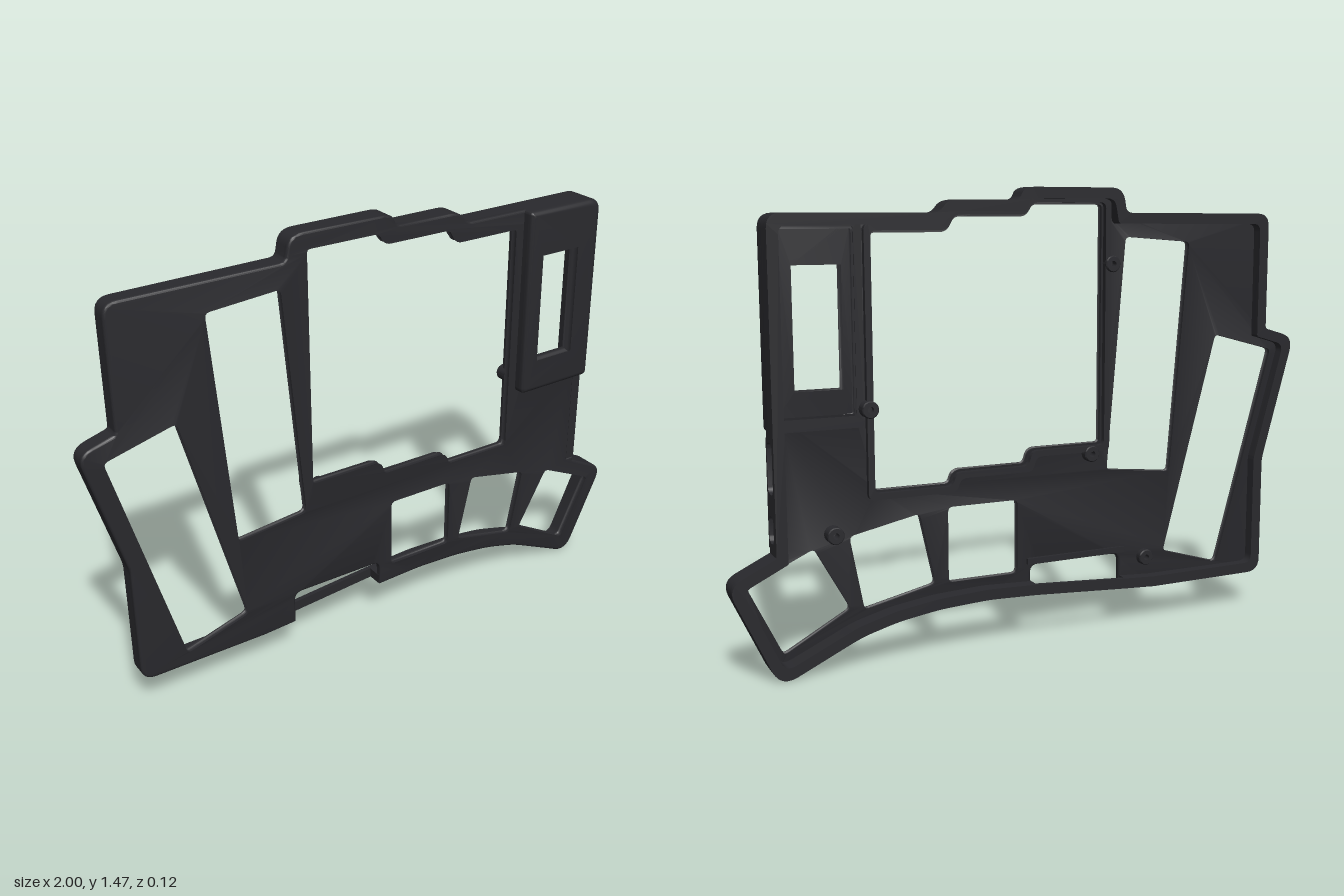
import * as THREE from 'three';
import { toCreasedNormals } from 'three/addons/utils/BufferGeometryUtils.js';

const material = new THREE.MeshStandardMaterial({ color: 0x29292d, side: THREE.DoubleSide });
const BACK = -0.06, SPLIT = -0.045, WALL = 0.035;
const frontZ = (x) => 0.012 + 0.016 * x; // the front face leans slightly

// Polygon of [x, y, cornerRadius] traced with rounded corners
function rounded(pts, r = 0, Kind = THREE.Shape) {
  const s = new Kind();
  pts.forEach((p, i) => {
    const c = new THREE.Vector2(p[0], p[1]), rad = p[2] ?? r;
    const toward = (q) => {
      const d = new THREE.Vector2(q[0], q[1]).sub(c), len = d.length();
      return d.multiplyScalar(Math.min(rad, len * 0.48) / len).add(c);
    };
    const a = toward(pts[(i + pts.length - 1) % pts.length]), b = toward(pts[(i + 1) % pts.length]);
    if (i) s.lineTo(a.x, a.y); else s.moveTo(a.x, a.y);
    if (rad) s.quadraticCurveTo(c.x, c.y, b.x, b.y);
  });
  s.closePath();
  return s;
}

// Mitred offset of a clockwise loop, positive is inward
function inset(pts, t) {
  const dir = (p, q) => new THREE.Vector2(q[1] - p[1], p[0] - q[0]).normalize();
  return pts.map((p, i) => {
    const n1 = dir(pts[(i + pts.length - 1) % pts.length], p), n2 = dir(p, pts[(i + 1) % pts.length]);
    const k = t / (1 + n1.dot(n2));
    return [p[0] + (n1.x + n2.x) * k, p[1] + (n1.y + n2.y) * k, p[2] === undefined ? undefined : p[2] * 0.6];
  });
}

const rect = (x0, x1, y0, y1) => [[x0, y1], [x1, y1], [x1, y0], [x0, y0]];

// Extrusion between two depths, with an optional edge bevel inside its outline
function slab(shape, z0, z1, bevel = 0, segments = 3) {
  const g = new THREE.ExtrudeGeometry(shape, {
    depth: z1 - z0 - 2 * bevel, curveSegments: 6, bevelEnabled: bevel > 0,
    bevelThickness: bevel, bevelSize: bevel, bevelOffset: -bevel, bevelSegments: segments,
  });
  return g.translate(0, 0, z0 + bevel);
}

// Lean the vertices in front of a given depth along with the front face
function lean(g, behind = -1) {
  const p = g.attributes.position;
  for (let i = 0; i < p.count; i++) if (p.getZ(i) > behind) p.setZ(i, p.getZ(i) + 0.016 * p.getX(i));
  return g;
}

// Outer outline, clockwise from the left end of the bottom slot
const upper = [
  [-0.335, 0.137], [-0.45, 0.13], [-0.89, 0.13, 0.05], [-0.89, 0.54, 0.02], [-1.01, 0.967, 0.05],
  [-0.89, 1.002, 0.01], [-0.89, 1.397, 0.045], [-0.325, 1.4, 0.02], [-0.31, 1.48, 0.045],
  [0.045, 1.48, 0.04], [0.06, 1.44, 0.02], [0.3, 1.44, 0.04], [0.33, 1.4, 0.02], [0.86, 1.4, 0.045], [0.86, 0.74],
];
const lower = [
  [0.86, 0.405], [0.86, 0.388], [1.01, 0.315, 0.05], [0.86, -0.012, 0.06], [0.6, 0.107, 0.04],
  [0.48, 0.139, 0.04], [0.34, 0.159, 0.04], [0.17, 0.167, 0.04], [0, 0.16],
];
const outline = [...upper, ...lower];
const inner = inset(outline, WALL);

// Openings
const displayHole = [
  [-0.262, 1.433], [0, 1.433], [0.02, 1.395], [0.265, 1.395], [0.29, 1.348], [0.537, 1.348],
  [0.537, 0.545], [0.28, 0.545], [0.265, 0.588], [0.015, 0.588], [0, 0.636], [-0.262, 0.636],
];
const keyHoles = [
  [[-0.945, 0.93], [-0.70, 0.995], [-0.50, 0.235], [-0.735, 0.165]],
  [[-0.60, 1.31], [-0.34, 1.33], [-0.275, 0.54], [-0.535, 0.513]],
  rect(0.04, 0.297, 0.22, 0.482),
  [[0.38, 0.472], [0.625, 0.42], [0.578, 0.166], [0.325, 0.222]],
  [[0.725, 0.398], [0.948, 0.295], [0.833, 0.055], [0.605, 0.18]],
];
const pocket = rect(0.585, 0.825, 0.79, 1.36);

export function createModel() {
  const model = new THREE.Group();
  const add = (name, geometry) => {
    const mesh = new THREE.Mesh(toCreasedNormals(geometry, 0.6), material);
    mesh.name = name;
    model.add(mesh);
    return mesh;
  };

  // Front plate with key, display and screen openings and the bottom notch
  const plate = rounded([
    ...upper, [0.83, 0.74], [0.83, 0.405], ...lower, [0, 0.25, 0.03], [-0.335, 0.25, 0.03],
  ]);
  for (const h of keyHoles) plate.holes.push(rounded(h, 0.025, THREE.Path));
  plate.holes.push(rounded(displayHole, 0.02, THREE.Path), rounded(pocket, 0.01, THREE.Path));
  add('frontPlate', lean(slab(plate, -0.012, 0.012, 0.007)));

  // Closed rim at the back
  const rim = rounded(outline);
  rim.holes.push(rounded(inner, 0, THREE.Path));
  add('backRim', slab(rim, BACK, SPLIT));

  // Outer walls, open at the bottom notch and along the port panel
  const n = upper.length;
  const bands = {
    upperWall: [...upper, ...inner.slice(0, n).reverse()],
    lowerWall: [...lower, ...inner.slice(n).reverse()],
  };
  for (const [name, pts] of Object.entries(bands)) {
    add(name, lean(slab(rounded(pts), SPLIT, 0.005), -0.02));
  }

  // Side panel with two rounded ports
  const panel = rounded(rect(SPLIT, frontZ(0.86), 0.405, 0.74));
  panel.holes.push(
    rounded(rect(-0.042, 0.017, 0.573, 0.73), 0.026, THREE.Path),
    rounded(rect(-0.034, 0.018, 0.422, 0.505), 0.022, THREE.Path),
  );
  add('portPanel', slab(panel, 0, WALL).rotateY(-Math.PI / 2).translate(0.86, 0, 0));

  // Raised hollow housing around the small screen
  const housing = [[0.56, 1.4, 0.01], [0.86, 1.4, 0.045], [0.86, 0.753, 0.02], [0.56, 0.753, 0.02]];
  const sides = rounded(housing);
  sides.holes.push(rounded(pocket, 0.01, THREE.Path));
  add('screenHousingSides', slab(sides, -0.005, 0.041));
  const cap = rounded(housing);
  cap.holes.push(rounded(rect(0.596, 0.789, 0.85, 1.267), 0, THREE.Path));
  add('screenHousingCap', slab(cap, 0.021, 0.062, 0.02, 5));

  // Lip behind the display opening
  const lip = rounded(inset(displayHole, -0.02), 0.02);
  lip.holes.push(rounded(displayHole, 0.02, THREE.Path));
  add('displayLip', lean(slab(lip, -0.03, -0.005)));

  // Rail above the bottom notch
  add('notchRail', slab(rounded(rect(-0.35, 0.015, 0.255, 0.275)), -0.025, 0));

  // Screw bosses on the inside
  const bossProfile = [[0.01, 0.04], [0.01, 0], [0.024, 0], [0.027, 0.004], [0.027, 0.04]]
    .map(([r, y]) => new THREE.Vector2(r, y));
  for (const [x, y] of [[-0.288, 1.235], [-0.215, 0.61], [-0.43, 0.23], [0.67, 0.43], [0.552, 0.81]]) {
    const boss = add('screwBoss', new THREE.LatheGeometry(bossProfile, 20).rotateX(Math.PI / 2));
    boss.position.set(x, y, -0.042);
  }
  return model;
}
